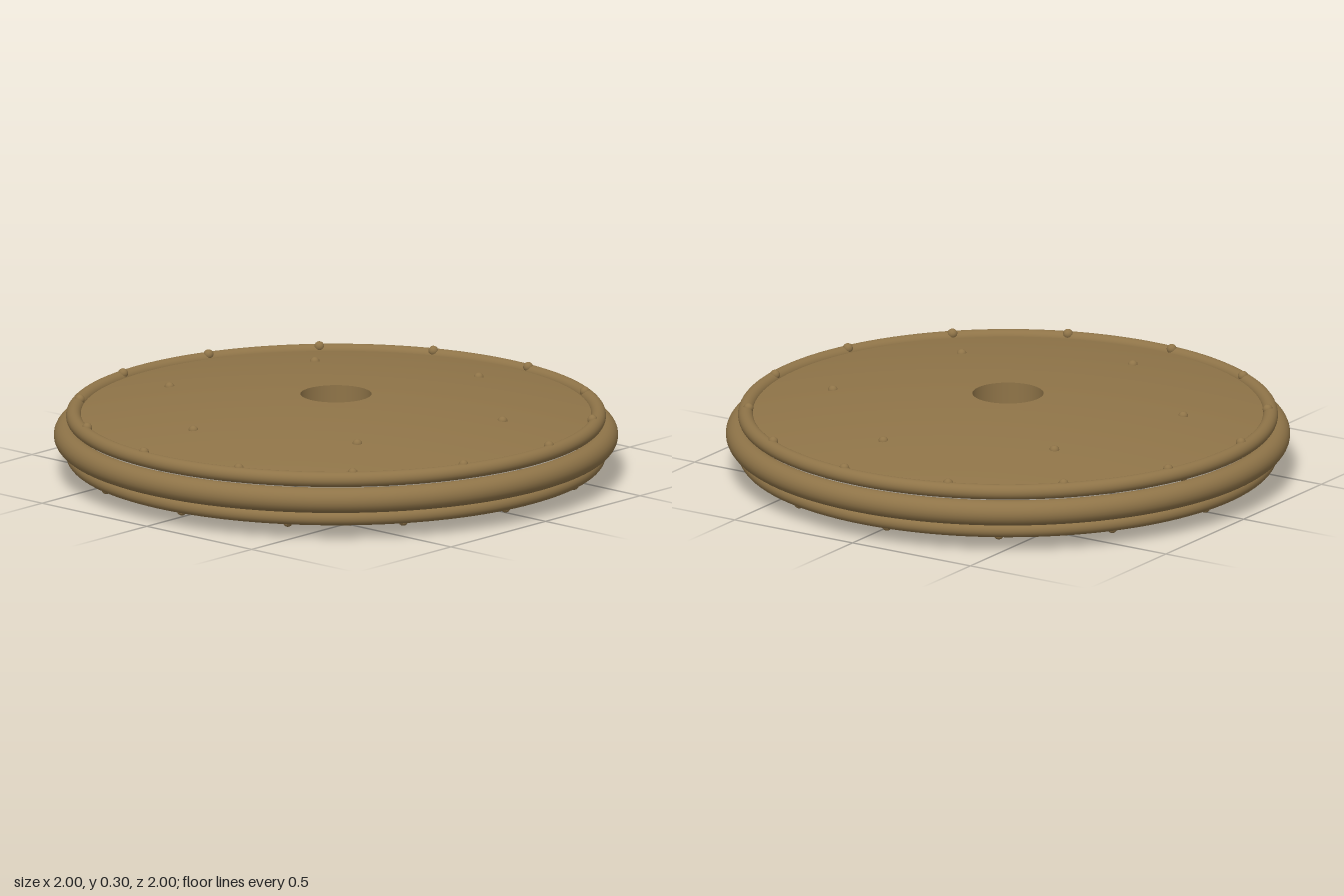
import * as THREE from 'three';

export function createModel() {
  const model = new THREE.Group();
  const bronze = new THREE.MeshStandardMaterial({ color: 0x8f7448 });
  bronze.name = 'bronze';
  const MID = 0.149;
  const add = (geometry, name, x = 0, y = MID, z = 0) => {
    const mesh = new THREE.Mesh(geometry, bronze);
    mesh.name = name;
    mesh.position.set(x, y, z);
    model.add(mesh);
    return mesh;
  };

  // Half thickness of the gently domed disc at radius r
  const HOLE = 0.126, EDGE = 0.94;
  const dome = (r) => 0.15 - 0.088 * r * r;

  // Domed faces, swept from the hole to the rim
  const face = [];
  for (let i = 0; i <= 16; i++) {
    const r = EDGE + (HOLE - EDGE) * (i / 16);
    face.push(new THREE.Vector2(r, dome(r)));
  }
  add(new THREE.LatheGeometry(face, 96), 'topFace');
  const under = face.map((p) => new THREE.Vector2(p.x, -p.y)).reverse();
  add(new THREE.LatheGeometry(under, 96), 'bottomFace');

  // Wall of the centre hole
  const h = dome(HOLE);
  const wall = [new THREE.Vector2(HOLE, h), new THREE.Vector2(HOLE, -h)];
  add(new THREE.LatheGeometry(wall, 96), 'holeWall');

  // Rounded rim and the raised ring on each side
  const ring = (radius, tube) => new THREE.TorusGeometry(radius, tube, 24, 128).rotateX(Math.PI / 2);
  add(ring(0.955, 0.045), 'outerRim');

  // Rivets on rings and faces
  const rivet = new THREE.SphereGeometry(0.018, 16, 12);
  const rad = THREE.MathUtils.degToRad;
  const faceRadii = [0.64, 0.6, 0.635];
  for (const side of [1, -1]) {
    const label = side > 0 ? 'top' : 'bottom';
    add(ring(0.93, 0.027), label + 'Ring', 0, MID + side * 0.07);
    for (let i = 0; i < 14; i++) {
      const a = side * (rad(-7.2) + (i / 14) * Math.PI * 2);
      add(rivet, label + 'RingRivet', 0.92 * Math.cos(a), MID + side * 0.091, 0.92 * Math.sin(a));
    }
    for (let i = 0; i < 6; i++) {
      const a = rad(-19.3 + i * 60), r = faceRadii[i % 3];
      add(rivet, label + 'FaceRivet', r * Math.cos(a), MID + side * (dome(r) - 0.003), r * Math.sin(a));
    }
  }
  return model;
}
